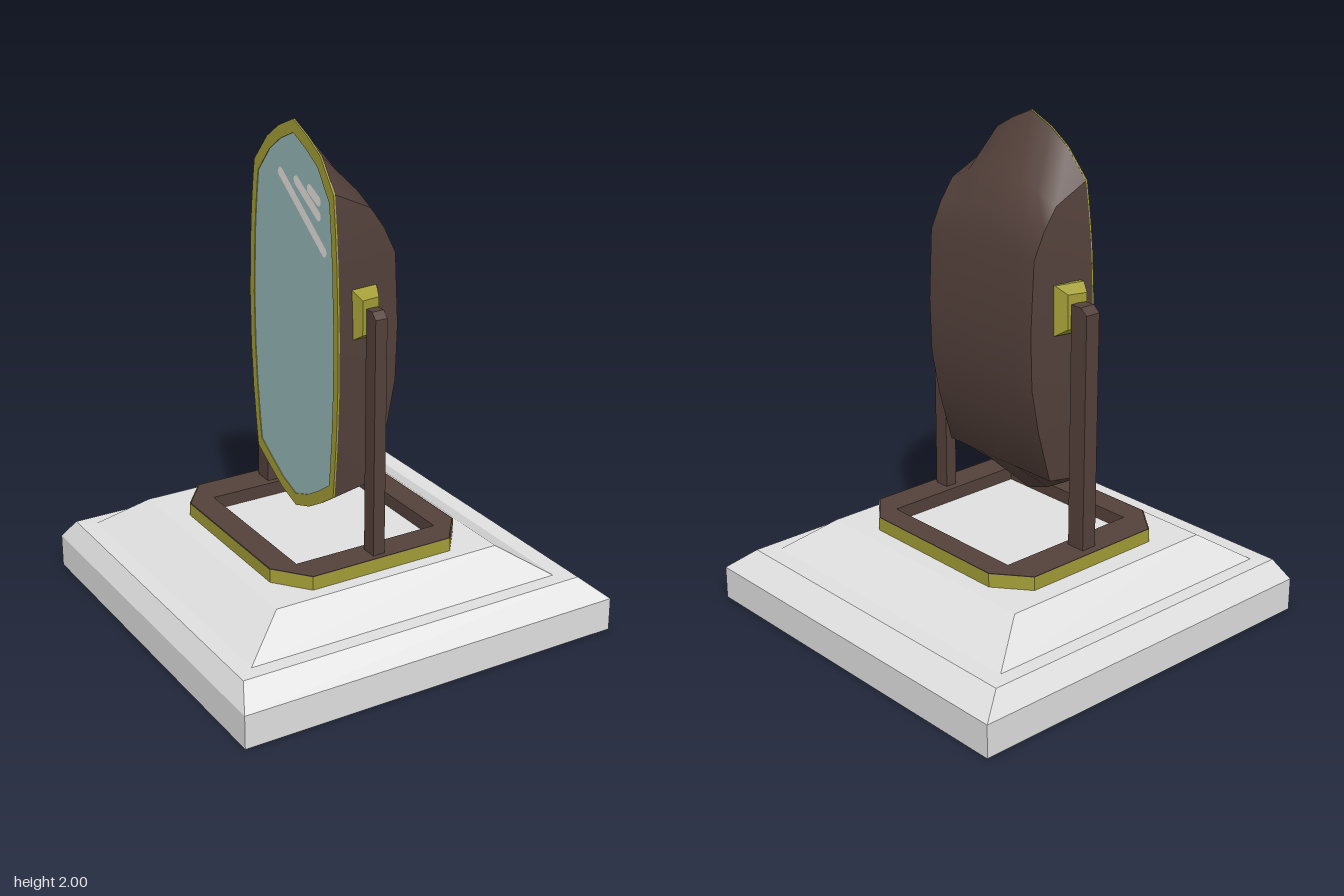
import * as THREE from 'three';

const mat = (name, color, double = false) => {
  const m = new THREE.MeshStandardMaterial({ color });
  m.name = name;
  if (double) m.side = THREE.DoubleSide;
  return m;
};

function buffer(positions, index) {
  const g = new THREE.BufferGeometry();
  g.setAttribute('position', new THREE.Float32BufferAttribute(positions, 3));
  if (index) g.setIndex(index);
  g.computeVertexNormals();
  return g;
}

// Flat-shaded skin through matching closed loops, optionally capped
function loft(loops, caps = true) {
  const pos = [];
  const tri = (...pts) => pts.forEach((p) => pos.push(...p));
  for (let k = 0; k < loops.length - 1; k++) {
    const A = loops[k], B = loops[k + 1], n = A.length;
    for (let i = 0; i < n; i++) {
      const j = (i + 1) % n;
      tri(A[i], A[j], B[j], A[i], B[j], B[i]);
    }
  }
  if (caps) {
    const A = loops[0], B = loops[loops.length - 1];
    for (let i = 1; i < A.length - 1; i++) {
      tri(A[0], A[i + 1], A[i]);
      tri(B[0], B[i], B[i + 1]);
    }
  }
  return buffer(pos);
}

// Smooth sheet through rows of points
function sheet(rows) {
  const w = rows[0].length, index = [];
  for (let i = 0; i < rows.length - 1; i++) {
    for (let j = 0; j < w - 1; j++) {
      const a = i * w + j, b = a + w;
      index.push(a, b, b + 1, a, b + 1, a + 1);
    }
  }
  return buffer(rows.flat(2), index);
}

const rect = (x0, x1, z0, z1, y) => [[x0, y, z1], [x1, y, z1], [x1, y, z0], [x0, y, z0]];
const shapeOf = (pts) => new THREE.Shape(pts.map(([a, b]) => new THREE.Vector2(a, b)));

export function createModel() {
  const group = new THREE.Group();
  const stone = mat('pale stone', 0xe0e0e0);
  const wood = mat('dark wood', 0x54413b, true);
  const brass = mat('brass', 0xa39d36, true);
  const glass = mat('mirror glass', 0x97b7b7, true);
  const shine = mat('glass shine', 0xf0eae8, true);
  const add = (name, geometry, material) => {
    const m = new THREE.Mesh(geometry, material);
    m.name = name;
    group.add(m);
    return m;
  };

  // Stepped base
  add('base', loft([
    rect(-0.81, 0.81, -0.8, 0.8, 0),
    rect(-0.81, 0.81, -0.8, 0.8, 0.135),
    rect(-0.765, 0.715, -0.74, 0.71, 0.215),
    rect(-0.7, 0.64, -0.68, 0.65, 0.216),
    rect(-0.52, 0.455, -0.55, 0.515, 0.335),
  ]), stone);

  // Chamfered ring on the base, with a brass band around its outside
  const octagon = (x0, x1, z0, z1, cx, cz) => [
    [x0 + cx, z1], [x1 - cx, z1], [x1, z1 - cz], [x1, z0 + cz],
    [x1 - cx, z0], [x0 + cx, z0], [x0, z0 + cz], [x0, z1 - cz],
  ];
  const ring = shapeOf(octagon(-0.438, 0.383, -0.463, 0.458, 0.107, 0.135).map(([x, z]) => [x, -z]));
  ring.holes.push(shapeOf([[-0.335, -0.34], [0.285, -0.34], [0.285, 0.325], [-0.335, 0.325]]));
  const ringGeo = new THREE.ExtrudeGeometry(ring, { depth: 0.055, bevelEnabled: false });
  ringGeo.rotateX(-Math.PI / 2);
  add('baseRing', ringGeo, wood).position.y = 0.335;
  const band = octagon(-0.441, 0.386, -0.466, 0.461, 0.107, 0.135);
  add('ringBand', loft([0.335, 0.389].map((y) => band.map(([x, z]) => [x, y, z])), false), brass);

  // Posts with a chamfered outer top edge
  add('frontPost', loft([
    rect(-0.055, -0.005, 0.37, 0.435, 0.335),
    rect(-0.055, -0.005, 0.37, 0.435, 1.335),
    rect(-0.055, -0.005, 0.37, 0.41, 1.36),
  ]), wood);
  add('backPost', loft([
    rect(-0.07, -0.005, -0.43, -0.35, 0.335),
    rect(-0.07, -0.005, -0.43, -0.35, 1.335),
    rect(-0.07, -0.005, -0.4, -0.35, 1.36),
  ]), wood);

  // Pivot blocks, following the taper of the mirror sides
  const block = (x0, z0, x1, z1, y0, y1) => [[x0, y0, z0], [x1, y0, z1], [x1, y1, z1], [x0, y1, z0]];
  add('frontPivot', loft([
    block(-0.09, 0.315, 0.02, 0.3, 1.23, 1.425),
    block(-0.09, 0.328, 0.02, 0.32, 1.23, 1.425),
    block(-0.072, 0.375, 0.003, 0.364, 1.26, 1.395),
  ]), brass);
  add('backPivot', loft([
    block(-0.095, -0.305, 0.025, -0.275, 1.23, 1.425).reverse(),
    block(-0.095, -0.322, 0.025, -0.295, 1.23, 1.425).reverse(),
    block(-0.075, -0.36, 0.0, -0.338, 1.26, 1.395).reverse(),
  ]), brass);

  // Mirror casing: each column runs from the top rim over the back to the bottom rim
  const RIM = -0.15;
  const zs = [0.308, 0.217, 0.13, 0.027, -0.08, -0.17, -0.27];
  const tops = [1.785, 1.905, 1.955, 2.0, 1.955, 1.895, 1.785];
  const bottoms = [0.605, 0.545, 0.495, 0.46, 0.495, 0.545, 0.605];
  const profile = [ // x, y at the sides, extra y at the middle
    [0, 1.715, 0.075], [0.06, 1.63, 0.03], [0.108, 1.53, 0], [0.122, 1.25, 0],
    [0.115, 1.03, 0], [0.08, 0.85, 0], [0.02, 0.635, 0],
  ];
  const rows = [
    zs.map((z, j) => [RIM, tops[j], z]),
    ...profile.map(([x, y, dy]) => zs.map((z, j) => [x, y + dy * (tops[j] - 1.785) / 0.215, z])),
    zs.map((z, j) => [RIM, bottoms[j], z]),
  ];
  add('casingBack', sheet(rows), wood);

  // Casing sides bulge outwards along the rim
  const rimYs = [1.785, 1.7, 1.62, 1.52, 1.25, 1.03, 0.85, 0.68, 0.605];
  const rimSide = (z, bulge) => rimYs.map((y) => [RIM, y, z + bulge * (1 - ((y - 1.195) / 0.59) ** 2)]);
  const frontRim = rimSide(zs[0], 0.035), backRim = rimSide(zs[6], -0.05);
  add('casingFrontSide', sheet(rows.map((r, i) => [frontRim[i], r[0]])), wood);
  add('casingBackSide', sheet(rows.map((r, i) => [r[6], backRim[i]])), wood);

  // Rim outline as (z, y), then a brass frame around the glass
  const outline = [
    ...rows[0], ...backRim.slice(1, -1), ...[...rows[8]].reverse(), ...frontRim.slice(1, -1).reverse(),
  ].map(([, y, z]) => [z, y]);
  const inset = outline.map(([z, y]) => [0.013 + (z - 0.013) * 0.9, 1.215 + (y - 1.215) * 0.935]);
  const frame = shapeOf(outline);
  frame.holes.push(shapeOf(inset));
  const faceLeft = (geometry) => geometry.rotateY(-Math.PI / 2);
  add('mirrorFrame', faceLeft(new THREE.ExtrudeGeometry(frame, { depth: 0.007, bevelEnabled: false })), brass)
    .position.x = RIM + 0.001;
  add('mirrorGlass', faceLeft(new THREE.ShapeGeometry(shapeOf(inset))), glass).position.x = RIM - 0.003;

  // Rounded shine streaks on the glass
  const streaks = [[-0.07, 1.78, 0.24, 1.555], [0.045, 1.775, 0.2, 1.68], [0.14, 1.765, 0.2, 1.735]];
  for (const [z0, y0, z1, y1] of streaks) {
    const a = Math.atan2(y1 - y0, z1 - z0), s = new THREE.Shape();
    s.absarc(z1, y1, 0.019, a - Math.PI / 2, a + Math.PI / 2, false);
    s.absarc(z0, y0, 0.019, a + Math.PI / 2, a + Math.PI * 1.5, false);
    add('shineStreak', faceLeft(new THREE.ShapeGeometry(s, 6)), shine).position.x = RIM - 0.005;
  }
  return group;
}
